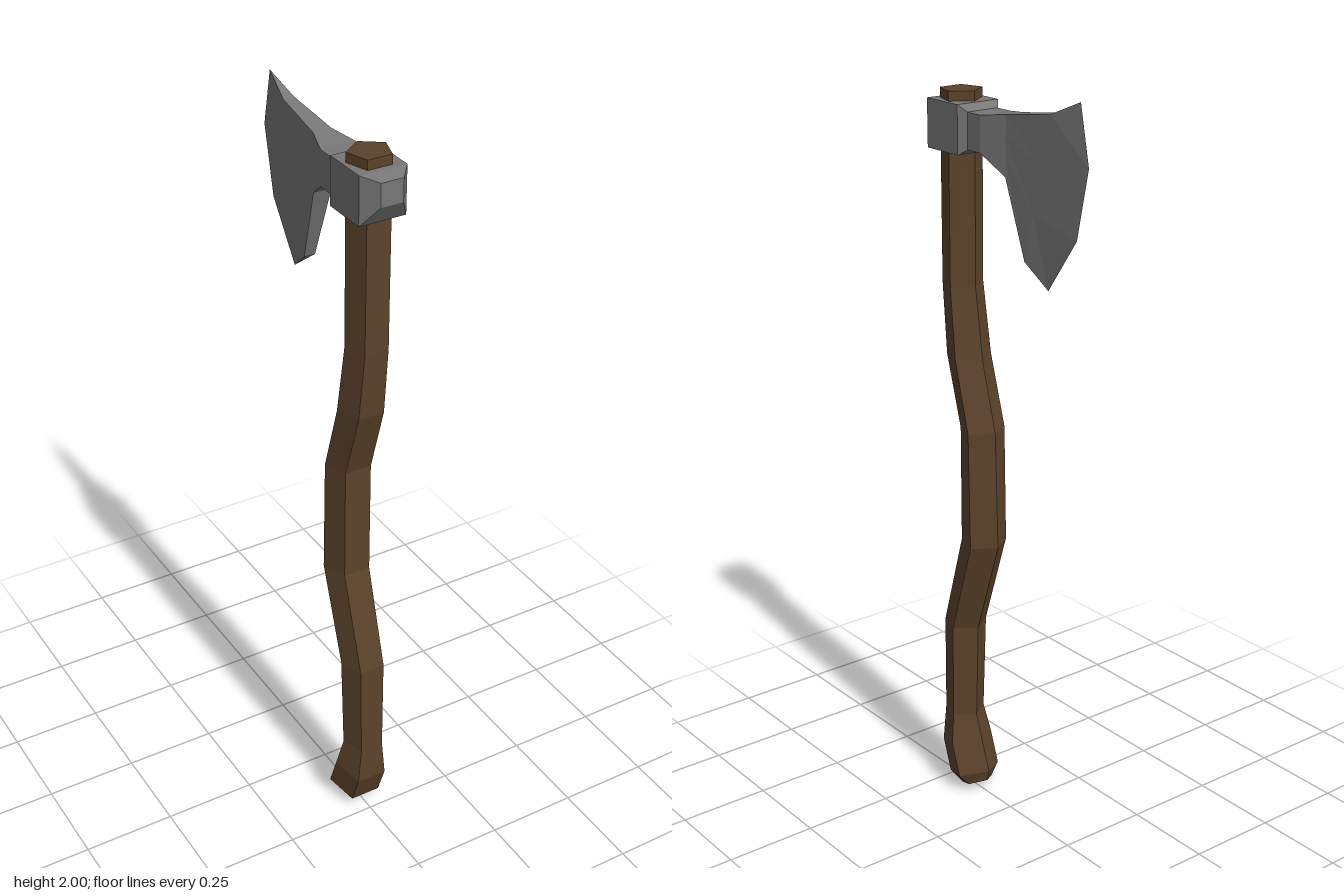
import * as THREE from 'three';

// Skin a list of rings (counter-clockwise around the travel direction) and cap both ends.
function loft(rings) {
  const pos = [];
  const tri = (a, b, c) => pos.push(...a, ...b, ...c);
  const n = rings[0].length;
  for (let r = 0; r < rings.length - 1; r++) {
    const a = rings[r], b = rings[r + 1];
    for (let i = 0; i < n; i++) {
      const j = (i + 1) % n;
      tri(a[i], a[j], b[j]);
      tri(a[i], b[j], b[i]);
    }
  }
  const first = rings[0], last = rings[rings.length - 1];
  for (let i = 1; i < n - 1; i++) {
    tri(first[0], first[i + 1], first[i]);
    tri(last[0], last[i], last[i + 1]);
  }
  const geo = new THREE.BufferGeometry();
  geo.setAttribute('position', new THREE.Float32BufferAttribute(pos, 3));
  geo.computeVertexNormals();
  return geo;
}

// Five-sided handle section: flat towards +z, ridge towards -z.
function handleRing([zf, yf, zb, yb, half]) {
  const zs = zf + (zb - zf) * 0.62, ys = yf + (yb - yf) * 0.62, flat = half * 0.62;
  return [[flat, yf, zf], [half, ys, zs], [0, yb, zb], [-half, ys, zs], [-flat, yf, zf]];
}

// Head section: a side profile of four points mirrored across x.
function headRing({ half, side }) {
  const left = side.map(([z, y]) => [half, y, z]);
  const right = side.map(([z, y]) => [-half, y, z]).reverse();
  return [...left, ...right];
}

// Straight side profile from a top point to a bottom point.
function straight(half, zt, yt, zb, yb) {
  const side = [0, 1, 2, 3].map((i) => [zt + (zb - zt) * i / 3, yt + (yb - yt) * i / 3]);
  return { half, side };
}

export function createModel() {
  const wood = new THREE.MeshStandardMaterial({ color: 0x5c432b, flatShading: true });
  wood.name = 'dark wood';
  const steel = new THREE.MeshStandardMaterial({ color: 0x777777, flatShading: true });
  steel.name = 'grey steel';

  const group = new THREE.Group();
  group.name = 'axe';

  // Curved handle, butt to top: front z, front y, ridge z, ridge y, half width
  const handle = new THREE.Mesh(loft([
    [0.19, 0.0, 0.106, 0.035, 0.04],
    [0.222, 0.03, 0.097, 0.068, 0.068],
    [0.254, 0.12, 0.13, 0.158, 0.068],
    [0.252, 0.225, 0.153, 0.225, 0.053],
    [0.247, 0.5, 0.143, 0.5, 0.057],
    [0.164, 0.77, 0.053, 0.77, 0.06],
    [0.164, 1.09, 0.063, 1.09, 0.06],
    [0.222, 1.28, 0.116, 1.28, 0.058],
    [0.242, 1.47, 0.144, 1.47, 0.053],
    [0.242, 1.97, 0.142, 1.97, 0.053],
  ].map(handleRing)), wood);
  handle.name = 'handle';
  group.add(handle);

  // Poll, eye block and neck
  const socket = [
    straight(0.03, 0.295, 1.935, 0.295, 1.875),
    straight(0.063, 0.256, 1.945, 0.256, 1.82),
    straight(0.063, 0.13, 1.945, 0.13, 1.82),
    straight(0.047, 0.11, 1.928, 0.11, 1.835),
    straight(0.047, 0.06, 1.928, 0.06, 1.835),
  ];
  const eye = new THREE.Mesh(loft(socket.map(headRing)), steel);
  eye.name = 'eyeAndPoll';
  group.add(eye);

  // Bearded blade thinning to a sharp curved edge
  const bladeSections = [
    socket[4],
    straight(0.025, -0.015, 1.938, -0.012, 1.785),
    straight(0.015, -0.17, 1.96, -0.075, 1.585),
    { half: 0, side: [[-0.263, 2.0], [-0.295, 1.85], [-0.255, 1.67], [-0.15, 1.525]] },
  ];
  const blade = new THREE.Mesh(loft(bladeSections.map(headRing)), steel);
  blade.name = 'blade';
  group.add(blade);

  return group;
}
